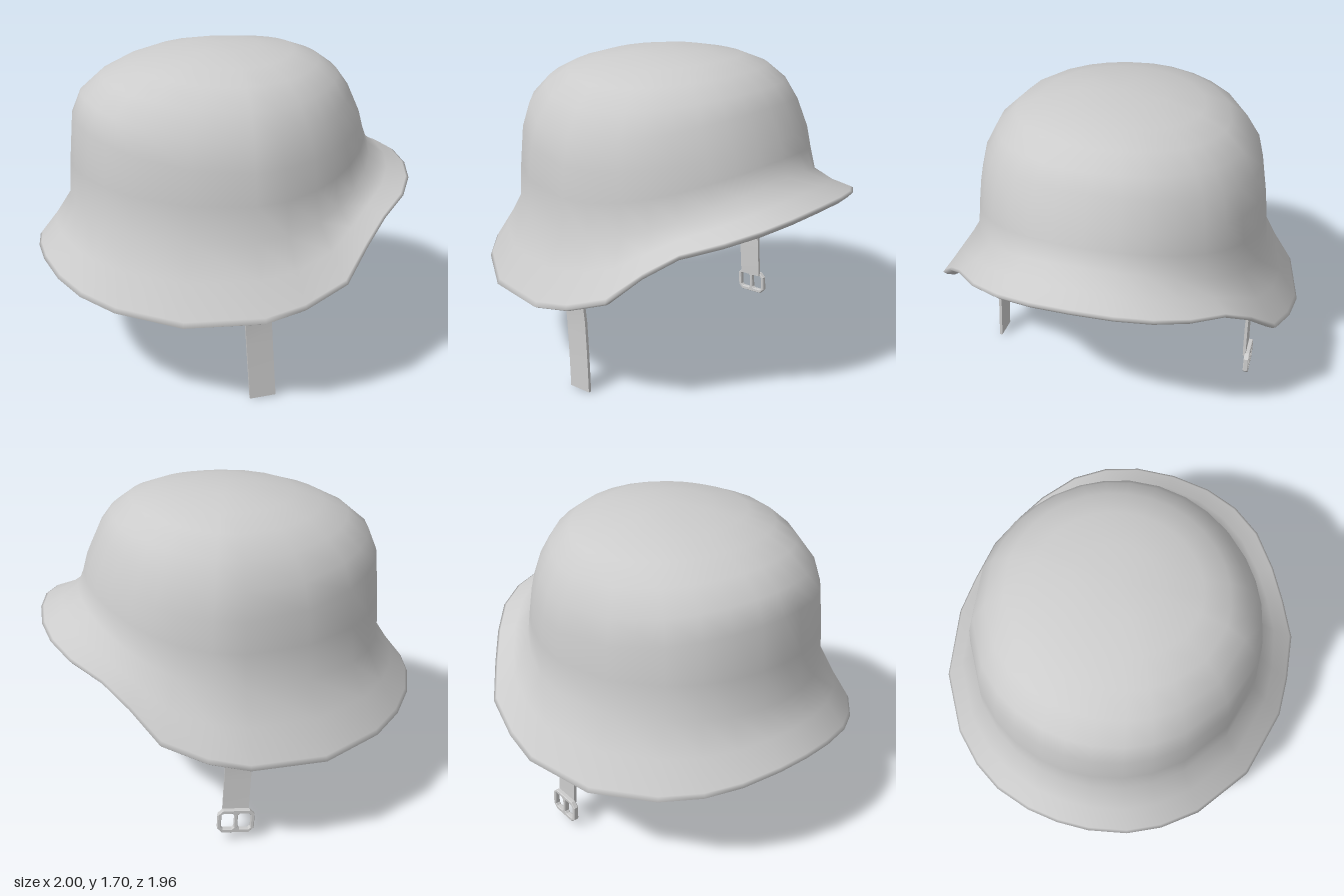
import * as THREE from 'three';

const lerpTable = (t, v) => {
  let i = 0;
  while (i < t.length - 2 && v > t[i + 1][0]) i++;
  const [a, ya] = t[i], [b, yb] = t[i + 1];
  return ya + (yb - ya) * (v - a) / (b - a);
};

// Angles around the helmet: 0 = brow (+x), 180 = neck (-x), mirrored across z
const half = [0, 12, 22.5, 33, 45, 55, 65, 78, 90, 113, 134, 147, 158, 170, 180];
const angles = [...half, ...half.slice(1, -1).reverse().map(a => 360 - a)]
  .map(a => a * Math.PI / 180);

// Height of the brim's lower edge along the length of the helmet
const brimEdge = [[-0.94, 0.625], [-0.82, 0.563], [-0.7, 0.535], [-0.35, 0.511], [0, 0.528],
  [0.16, 0.555], [0.36, 0.62], [0.45, 0.69], [0.54, 0.785], [0.64, 0.87], [0.86, 0.962], [0.94, 0.995]];

// Radius of the brim's lip against the angle from the brow
const brimRadius = [[0, 1], [22.5, 1.012], [33, 1.004], [45, 0.976], [55, 0.978], [65, 1.006], [78, 0.983],
  [90, 0.981], [113, 0.981], [134, 0.985], [147, 0.994], [158, 1.002], [180, 1]];

// Dome rings from the crown down to the crease: [brow x, y, neck x, y, side z, y]
const rings = [
  [0.20, 1.693, 0.18, 1.682, 0.22, 1.687],
  [0.38, 1.675, 0.35, 1.655, 0.42, 1.645],
  [0.51, 1.63, 0.50, 1.61, 0.555, 1.587],
  [0.61, 1.56, 0.63, 1.55, 0.655, 1.49],
  [0.67, 1.48, 0.74, 1.46, 0.725, 1.355],
  [0.74, 1.33, 0.79, 1.34, 0.755, 1.22],
  [0.765, 1.24, 0.81, 1.10, 0.773, 1.06],
  [0.80, 1.155, 0.82, 0.89, 0.785, 0.88],
];

function ringPoints([fx, fy, bx, by, sz, sy], inset = 0, drop = 0) {
  return angles.map(a => {
    const c = Math.cos(a), s = Math.sin(a), front = c > 0;
    const r = inset * (front ? 1 + 0.5 * c : 1);
    return [c * ((front ? fx : bx) - r), sy + ((front ? fy : by) - sy) * c * c - drop, s * (sz - r)];
  });
}

// lift 0 is the lower edge of the brim, lift 1 its outer lip
function brimPoints(scale, lift) {
  return angles.map(a => {
    const c = Math.cos(a), s = Math.sin(a);
    const r = scale * lerpTable(brimRadius, Math.acos(c) * 180 / Math.PI);
    const y = lerpTable(brimEdge, c * 0.94) + lift * (0.02 + 0.015 * c + 0.008 * c * c);
    return [c * r, y, s * r];
  });
}

const blend = (from, to, t, sag) => from.map((p, j) =>
  p.map((v, k) => v + (to[j][k] - v) * t - (k === 1 ? sag : 0)));

// Closed shell: outer skin, bevelled brim, then the inner skin back to the crown
function shellGeometry() {
  const outer = rings.map(r => ringPoints(r));
  const inner = rings.map((r, i) => ringPoints(r, 0.02 + 0.003 * i, i < 4 ? 0.02 : 0.01)).reverse();
  const lip = brimPoints(1, 1), edge = brimPoints(0.94, 0);
  const loops = [...outer, blend(outer.at(-1), lip, 0.45, 0.012), blend(outer.at(-1), lip, 0.93, 0), lip,
    brimPoints(0.98, 0.4), edge, blend(edge, inner[0], 0.1, 0), blend(edge, inner[0], 0.5, 0.01), ...inner];
  const n = angles.length, pos = [0, 1.697, 0], idx = [];
  loops.forEach(l => l.forEach(p => pos.push(...p)));
  pos.push(0, 1.677, 0);
  const last = 1 + loops.length * n;
  for (let j = 0; j < n; j++) {
    const k = (j + 1) % n;
    idx.push(0, 1 + k, 1 + j);
    for (let i = 0; i < loops.length - 1; i++) {
      const a = 1 + i * n + j, c = 1 + i * n + k;
      idx.push(a, c, a + n, c, c + n, a + n);
    }
    idx.push(last, last - n + j, last - n + k);
  }
  const g = new THREE.BufferGeometry();
  g.setAttribute('position', new THREE.Float32BufferAttribute(pos, 3));
  g.setIndex(idx);
  g.computeVertexNormals();
  return g;
}

// Thin curved ribbon hanging from the inside of the brim
const strapBow = [[0, 0.74], [0.2, 0.733], [0.4, 0.73], [0.6, 0.742], [0.78, 0.765]];
function strapGeometry(bottom, top, side) {
  const g = new THREE.BoxGeometry(0.135, top - bottom, 0.016, 1, 10, 1);
  g.translate(0, (top + bottom) / 2, 0);
  const p = g.attributes.position;
  for (let i = 0; i < p.count; i++) {
    const x = p.getX(i), y = p.getY(i);
    p.setXYZ(i, x + 0.055 - 0.06 * y, y + 0.06 * x, p.getZ(i) + side * lerpTable(strapBow, y));
  }
  g.computeVertexNormals();
  return g;
}

// Rectangle with clipped corners
function clippedRect(PathType, x0, x1, h, c) {
  return new PathType([[x0 + c, -h], [x1 - c, -h], [x1, -h + c], [x1, h - c],
    [x1 - c, h], [x0 + c, h], [x0, h - c], [x0, -h + c]].map(q => new THREE.Vector2(...q)));
}

export function createModel() {
  const group = new THREE.Group();
  const mat = new THREE.MeshStandardMaterial({ color: 0xcccccc });
  const add = (name, geometry) => {
    const m = new THREE.Mesh(geometry, mat);
    m.name = name;
    group.add(m);
    return m;
  };

  add('helmetShell', shellGeometry());
  add('plainChinStrap', strapGeometry(0.005, 0.78, 1));
  add('buckleChinStrap', strapGeometry(0.165, 0.78, -1));

  // Buckle frame with two openings either side of the prong
  const frame = clippedRect(THREE.Shape, -0.092, 0.092, 0.064, 0.025);
  frame.holes.push(clippedRect(THREE.Path, -0.079, -0.006, 0.049, 0.012),
    clippedRect(THREE.Path, 0.006, 0.079, 0.049, 0.012));
  const buckle = add('buckle', new THREE.ExtrudeGeometry(frame, {
    depth: 0.02, bevelEnabled: true, bevelThickness: 0.004, bevelSize: 0.003, bevelSegments: 1,
  }));
  buckle.position.set(0.045, 0.115, -0.76);
  buckle.rotation.z = 0.06;
  return group;
}
